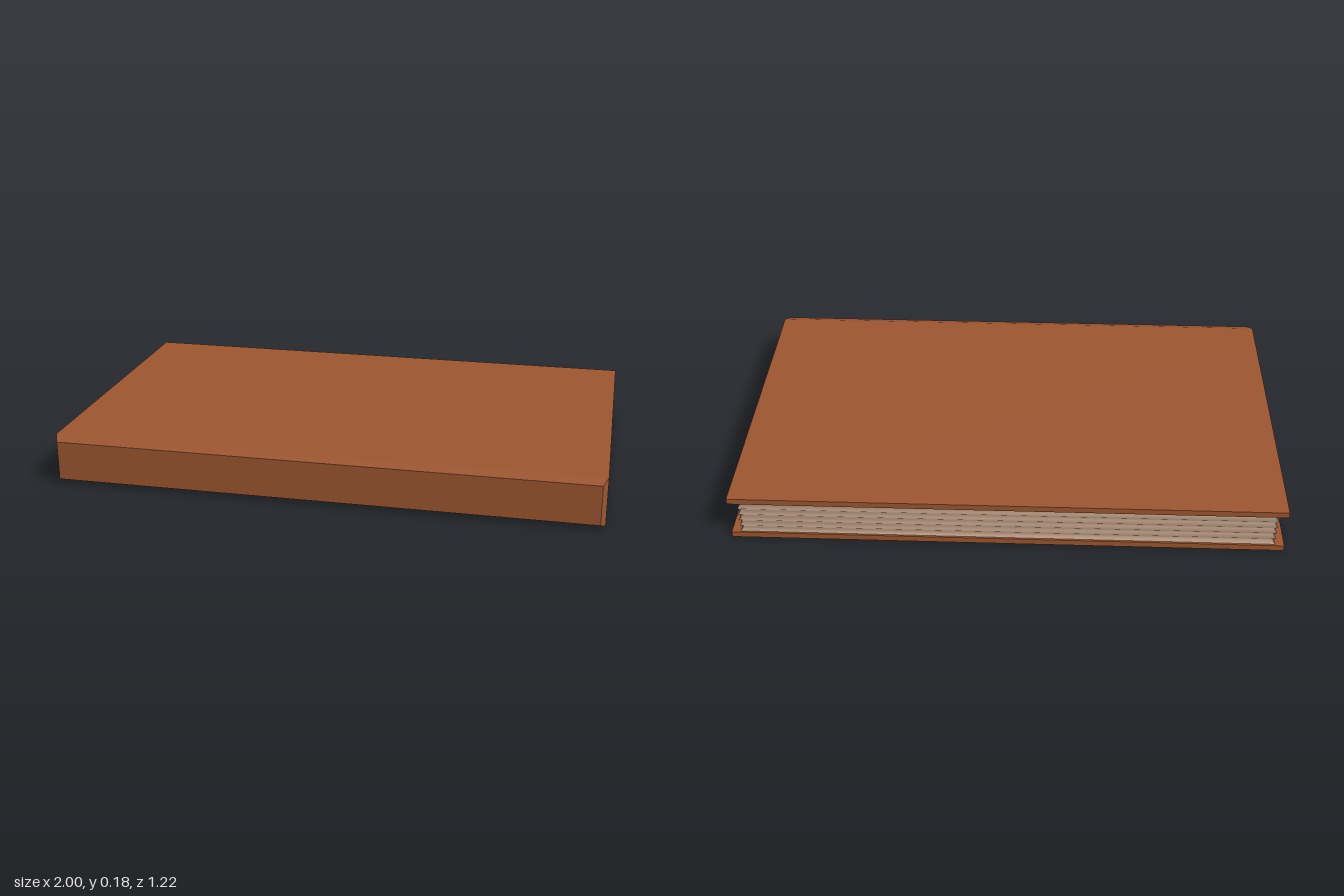
import * as THREE from 'three';

const HEIGHT = 0.18, BOARD = 0.023, BACK = -0.61;

export function createModel() {
  const book = new THREE.Group();
  book.name = 'book';
  const leather = new THREE.MeshStandardMaterial({ color: 0x9b5530 });
  leather.name = 'brown cover';
  const paper = new THREE.MeshStandardMaterial({ color: 0xc0a088 });
  paper.name = 'tan paper';

  const add = (name, geometry, material) => {
    const mesh = new THREE.Mesh(geometry, material);
    mesh.name = name;
    book.add(mesh);
    return mesh;
  };

  // Front and back boards
  const boardDepth = 0.51 - BACK;
  for (const [name, y] of [['bottomCover', BOARD / 2], ['topCover', HEIGHT - BOARD / 2]]) {
    add(name, new THREE.BoxGeometry(2, BOARD, boardDepth), leather)
      .position.set(0, y, BACK + boardDepth / 2);
  }

  // Spine: rectangular rings of [half width, bottom, top, z], bevelled inside and out
  const rings = [
    [0.95, BOARD, HEIGHT - BOARD, 0.48],
    [1, BOARD, HEIGHT - BOARD, 0.51],
    [1, 0, HEIGHT, 0.51],
    [1, 0, HEIGHT, 0.57],
    [0.983, 0.017, HEIGHT - 0.017, 0.61],
  ].map(([w, b, t, z]) => [[-w, b, z], [w, b, z], [w, t, z], [-w, t, z]]);
  const pos = [];
  const quad = (a, b, c, d) => pos.push(...a, ...b, ...c, ...a, ...c, ...d);
  for (let i = 0; i < rings.length - 1; i++) {
    for (let k = 0; k < 4; k++) {
      const n = (k + 1) % 4;
      quad(rings[i][k], rings[i][n], rings[i + 1][n], rings[i + 1][k]);
    }
  }
  const [inner, outer] = [rings[0], rings[rings.length - 1]];
  quad(inner[3], inner[2], inner[1], inner[0]);
  quad(outer[0], outer[1], outer[2], outer[3]);
  const spine = new THREE.BufferGeometry();
  spine.setAttribute('position', new THREE.Float32BufferAttribute(pos, 3));
  spine.computeVertexNormals();
  add('spine', spine, leather);

  // Page edges: four rippled walls, each smooth along its height
  const levels = 10, low = BOARD, high = HEIGHT - BOARD;
  const corners = (inset) => {
    const x = 0.967 - inset, back = -0.603 + inset, front = 0.499 - inset;
    return [[-x, front], [x, front], [x, back], [-x, back]];
  };
  ['pagesFront', 'pagesLeft', 'pagesBack', 'pagesRight'].forEach((name, side) => {
    const points = [], index = [];
    for (let i = 0; i <= levels; i++) {
      const ring = corners(i % 2 ? 0.009 : 0);
      const y = low + (high - low) * i / levels;
      for (const [x, z] of [ring[side], ring[(side + 1) % 4]]) points.push(x, y, z);
      if (i < levels) {
        const a = 2 * i;
        index.push(a, a + 1, a + 3, a, a + 3, a + 2);
      }
    }
    const wall = new THREE.BufferGeometry();
    wall.setAttribute('position', new THREE.Float32BufferAttribute(points, 3));
    wall.setIndex(index);
    wall.computeVertexNormals();
    add(name, wall, paper);
  });

  return book;
}
